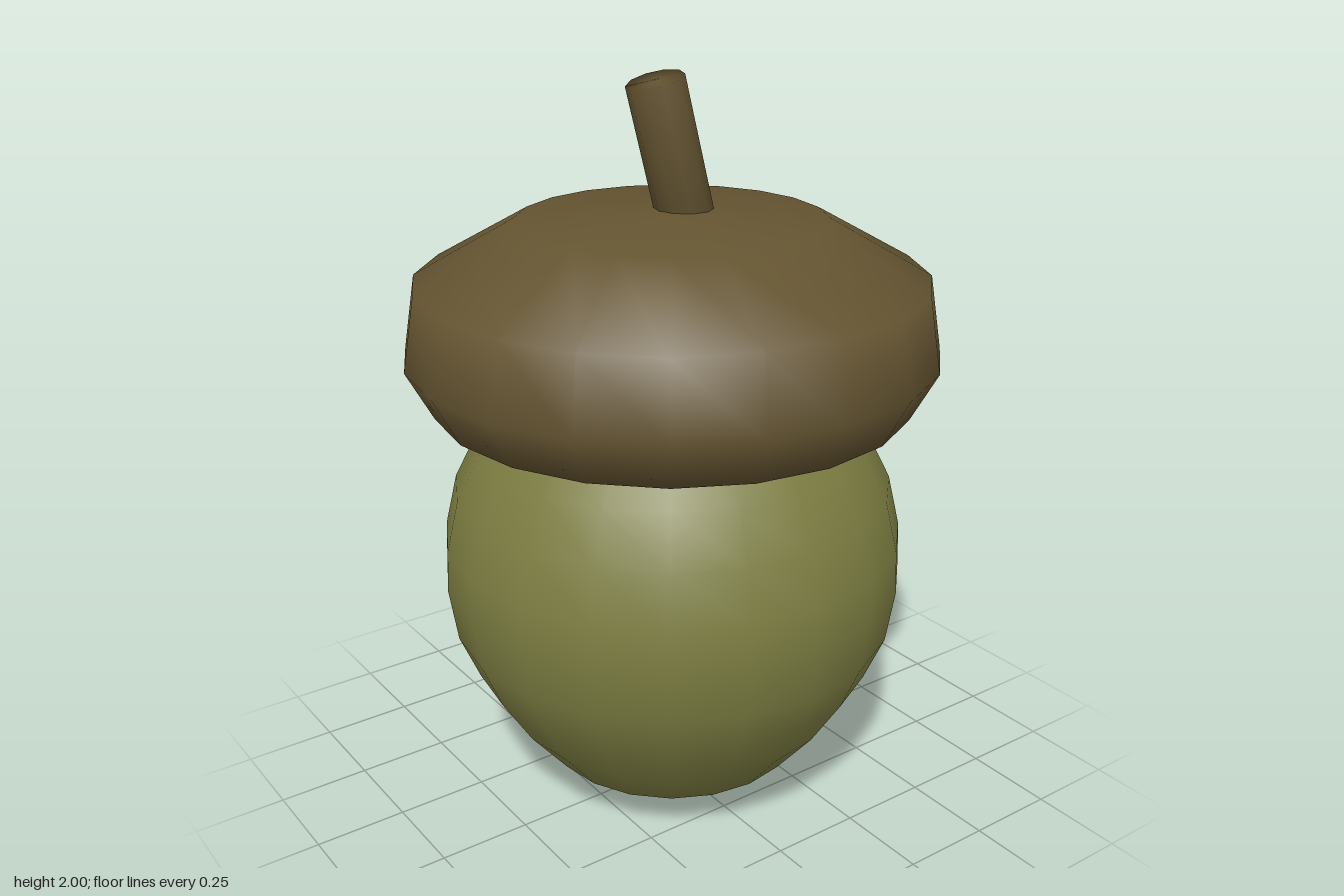
import * as THREE from 'three';

const green = new THREE.MeshStandardMaterial({ color: 0x7d7e42 });
green.name = 'olive green';
const brown = new THREE.MeshStandardMaterial({ color: 0x645431 });
brown.name = 'bark brown';

// Smooth turned part from a [radius, height] profile, bottom to top
function turned(name, profile, sides, material) {
  const points = profile.map(([r, y]) => new THREE.Vector2(r, y));
  const mesh = new THREE.Mesh(new THREE.LatheGeometry(points, sides), material);
  mesh.name = name;
  return mesh;
}

export function createModel() {
  const group = new THREE.Group();
  group.name = 'acorn';

  // Rounded nut with a pointed tip, its top hidden inside the cap
  group.add(turned('nut', [
    [0, 0], [0.36, 0.135], [0.466, 0.265], [0.55, 0.4], [0.603, 0.525],
    [0.625, 0.67], [0.62, 0.785], [0.587, 0.925], [0.524, 1.05],
    [0.444, 1.165], [0.34, 1.26], [0.2, 1.33], [0, 1.36],
  ], 20, green));

  // Wide cap with a flat underside
  group.add(turned('cap', [
    [0, 1.16], [0.63, 1.16], [0.7, 1.29], [0.667, 1.485], [0.4, 1.635], [0, 1.66],
  ], 20, brown));

  // Short stem leaning forward
  const stem = turned('stem', [
    [0, -0.2], [0.075, -0.2], [0.075, 0.2], [0, 0.2],
  ], 10, brown);
  stem.position.y = 1.787;
  stem.rotation.x = THREE.MathUtils.degToRad(15);
  group.add(stem);

  return group;
}
